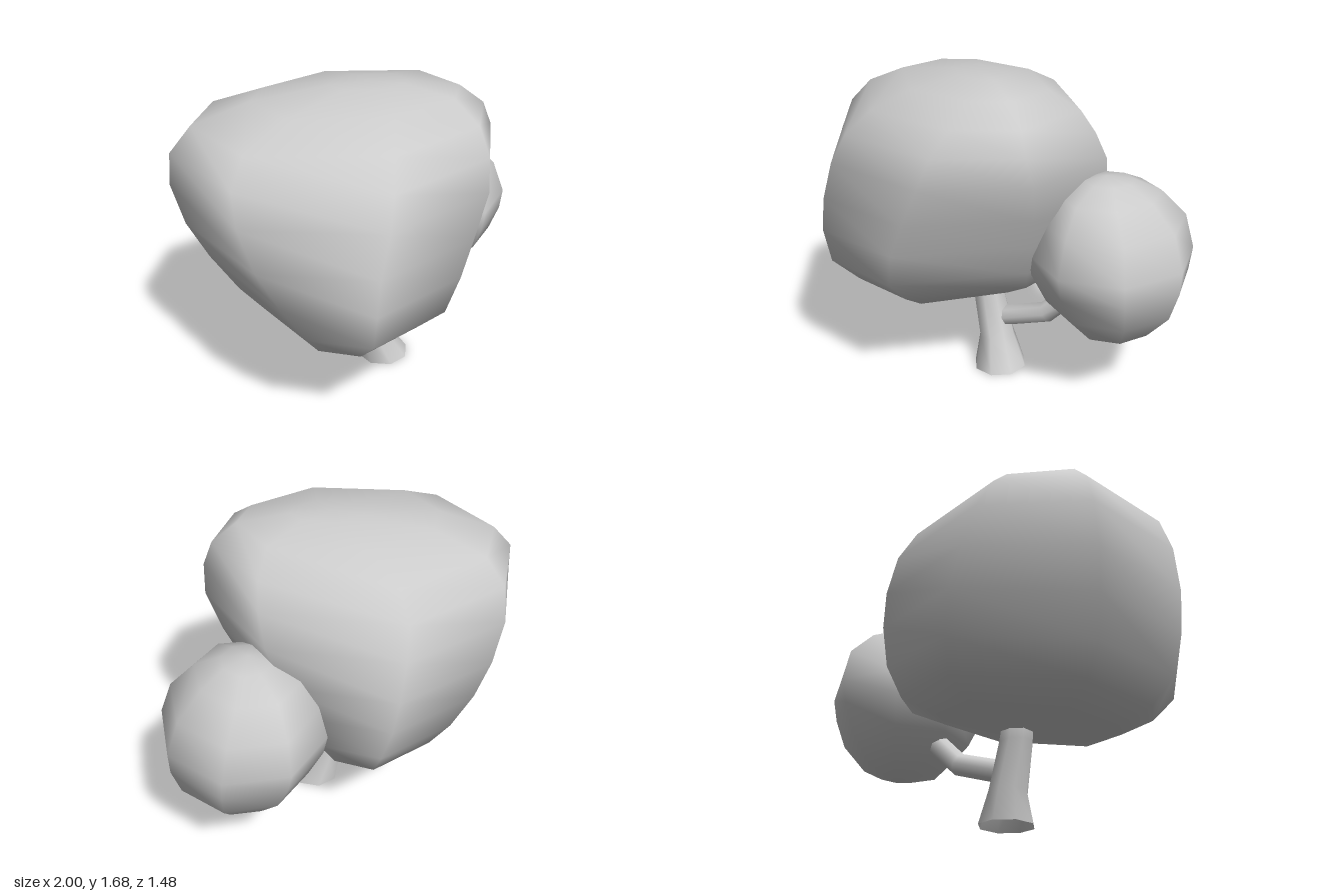
import * as THREE from 'three';

const SIDES = 8;
const material = new THREE.MeshStandardMaterial({ color: 0xcccccc, side: THREE.DoubleSide });

// Corners of a unit octagon that touches +-1 on both axes.
// flatSided turns an edge, not a corner, to each axis; skew slides those edges
// so the octagon stretches along one diagonal and shrinks along the other.
function octagon(flatSided, skew) {
  const phase = flatSided ? Math.PI / SIDES : 0;
  return Array.from({ length: SIDES }, (_, j) => {
    const a = phase + (j / SIDES) * Math.PI * 2;
    const x = Math.sin(a) / Math.cos(phase);
    const z = Math.cos(a) / Math.cos(phase);
    return Math.abs(x) > Math.abs(z) ? [x, z + skew * x] : [x + skew * z, z];
  });
}

// Smooth skin over level rings, listed from bottom to top as
// [y, xMin, xMax, zMin, zMax]; a tip point closes each end that has one.
function loft(name, rings, { bottom, top, flatSided = false, skewAt = () => 0 }) {
  const positions = [];
  const index = [];
  for (const [y, x0, x1, z0, z1] of rings) {
    for (const [u, v] of octagon(flatSided, skewAt(y))) {
      positions.push((x0 + x1) / 2 + u * (x1 - x0) / 2, y, (z0 + z1) / 2 + v * (z1 - z0) / 2);
    }
  }
  const last = (rings.length - 1) * SIDES;
  for (let j = 0; j < SIDES; j++) {
    const k = (j + 1) % SIDES;
    for (let r = 0; r < last; r += SIDES) {
      index.push(r + j, r + k, r + SIDES + j, r + k, r + SIDES + k, r + SIDES + j);
    }
  }
  const addTip = (tip, ring, flip) => {
    const t = positions.length / 3;
    positions.push(...tip);
    for (let j = 0; j < SIDES; j++) {
      const a = ring + j;
      const b = ring + (j + 1) % SIDES;
      index.push(t, flip ? b : a, flip ? a : b);
    }
  };
  if (bottom) addTip(bottom, 0, true);
  if (top) addTip(top, last, false);

  const geometry = new THREE.BufferGeometry();
  geometry.setAttribute('position', new THREE.Float32BufferAttribute(positions, 3));
  geometry.setIndex(index);
  geometry.computeVertexNormals();
  const mesh = new THREE.Mesh(geometry, material);
  mesh.name = name;
  return mesh;
}

export function createModel() {
  const tree = new THREE.Group();
  tree.name = 'tree';

  // Large crown: wide shoulders, narrow underside, its long diagonal turning with height
  tree.add(loft('largeCrown', [
    [0.475, -0.50, 0.08, -0.42, 0.46],
    [0.54, -0.69, 0.20, -0.60, 0.56],
    [0.69, -0.80, 0.29, -0.68, 0.705],
    [0.88, -0.90, 0.36, -0.73, 0.74],
    [1.06, -0.97, 0.43, -0.74, 0.735],
    [1.26, -1.00, 0.48, -0.715, 0.72],
    [1.41, -0.975, 0.46, -0.645, 0.67],
    [1.53, -0.87, 0.415, -0.53, 0.57],
    [1.63, -0.62, 0.30, -0.30, 0.42],
    [1.675, -0.27, 0.07, -0.06, 0.20],
  ], {
    bottom: [-0.17, 0.44, 0.05],
    top: [-0.10, 1.68, 0.07],
    flatSided: true,
    skewAt: (y) => 0.5 * (y - 1.14),
  }));

  // Small crown at the end of the branch
  tree.add(loft('smallCrown', [
    [0.39, 0.43, 0.83, -0.40, 0.05],
    [0.53, 0.26, 0.95, -0.53, 0.18],
    [0.68, 0.18, 0.995, -0.60, 0.25],
    [0.80, 0.17, 1.00, -0.635, 0.275],
    [0.98, 0.22, 0.935, -0.60, 0.215],
    [1.11, 0.30, 0.80, -0.48, 0.10],
    [1.18, 0.42, 0.67, -0.32, -0.05],
  ], { bottom: [0.68, 0.335, -0.18], top: [0.53, 1.20, -0.18] }));

  // Hollow trunk with a flared, open foot
  tree.add(loft('trunk', [
    [0, -0.12, 0.15, -0.095, 0.19],
    [0.16, -0.13, 0.05, -0.09, 0.11],
    [0.40, -0.20, -0.025, -0.085, 0.08],
    [0.56, -0.22, -0.06, -0.08, 0.07],
  ], { top: [-0.14, 0.56, 0], flatSided: true }));

  // Branch with a single bend, holding the small crown
  const path = new THREE.CatmullRomCurve3([
    new THREE.Vector3(-0.02, 0.265, -0.02),
    new THREE.Vector3(0.25, 0.36, -0.09),
    new THREE.Vector3(0.42, 0.55, -0.17),
  ]);
  const branch = new THREE.Mesh(new THREE.TubeGeometry(path, 2, 0.06, SIDES), material);
  branch.name = 'branch';
  tree.add(branch);

  return tree;
}
